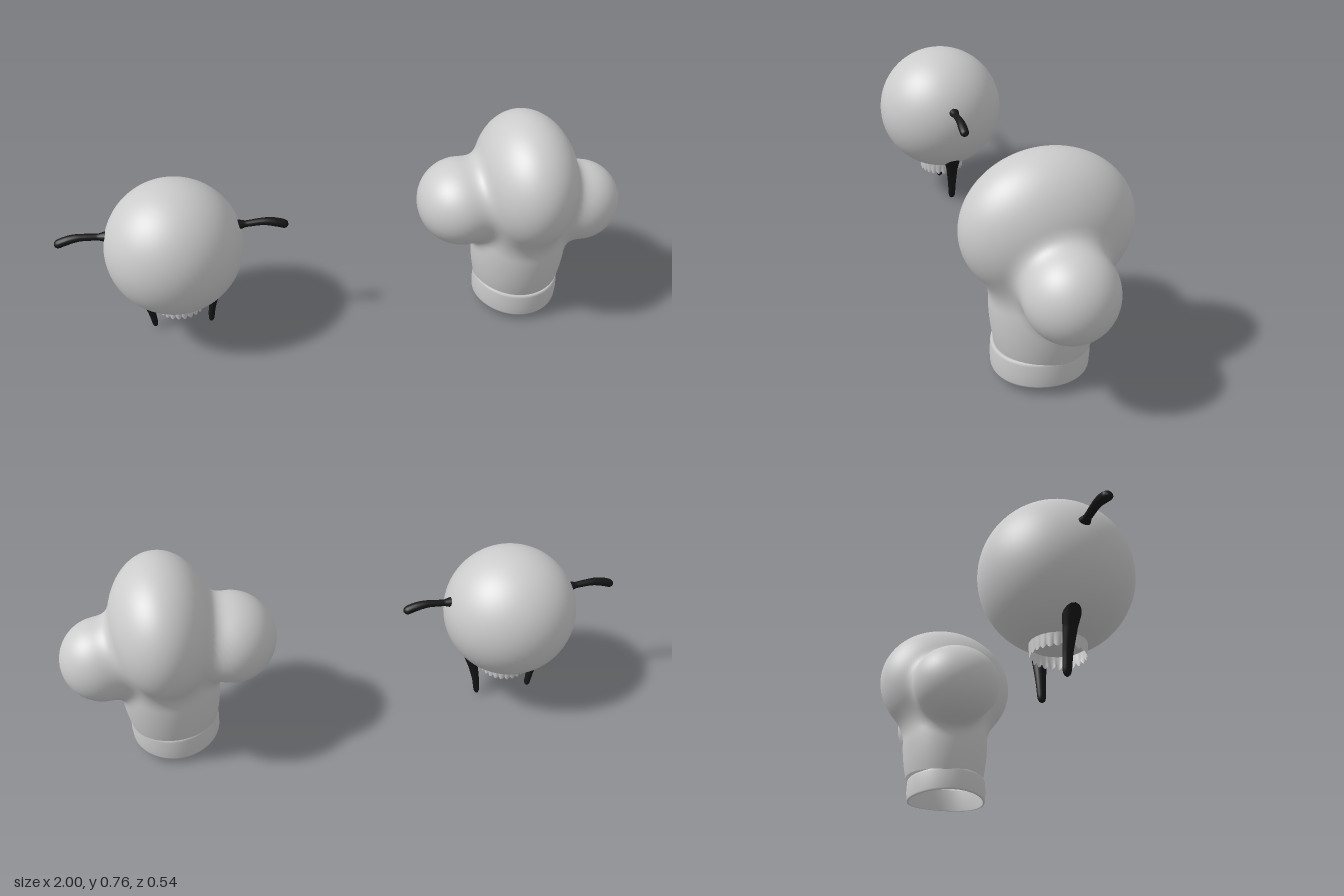
import * as THREE from 'three';
import { mergeVertices } from 'three/addons/utils/BufferGeometryUtils.js';

const grey = new THREE.MeshStandardMaterial({ color: 0xcccccc, side: THREE.DoubleSide });
const black = new THREE.MeshStandardMaterial({ color: 0x161616 });

function part(name, geometry, material, parent) {
  const mesh = new THREE.Mesh(geometry, material);
  mesh.name = name;
  parent.add(mesh);
  return mesh;
}

// Weld seams so that recomputed normals stay smooth.
function smooth(geometry) {
  geometry.deleteAttribute('uv');
  geometry.deleteAttribute('normal');
  const welded = mergeVertices(geometry, 1e-5);
  welded.computeVertexNormals();
  return welded;
}

// Tapered limb along a curve, round at its far end.
function limbGeometry(points, radii, depthScale) {
  const curve = new THREE.CatmullRomCurve3(points.map(p => new THREE.Vector3(...p)));
  const rings = 36, sides = 16, cap = 0.9;
  const geometry = new THREE.TubeGeometry(curve, rings, 1, sides, false);
  const pos = geometry.attributes.position;
  const v = new THREE.Vector3();
  for (let i = 0; i <= rings; i++) {
    const t = i / rings, centre = curve.getPointAt(t);
    const k = Math.min(t * (radii.length - 1), radii.length - 1.0001), a = Math.floor(k);
    let r = THREE.MathUtils.lerp(radii[a], radii[a + 1], k - a);
    if (t > cap) r *= Math.sqrt(Math.max(0.0001, 1 - ((t - cap) / (1 - cap)) ** 2));
    for (let j = 0; j <= sides; j++) {
      const n = i * (sides + 1) + j;
      v.fromBufferAttribute(pos, n).sub(centre).multiplyScalar(r);
      v.z *= depthScale;
      v.add(centre);
      pos.setXYZ(n, v.x, v.y, v.z);
    }
  }
  return smooth(geometry);
}

// Puffs of the hat: centre and radii, blended into one surface.
const puffs = [
  { c: [0, 0.52, 0], r: [0.18, 0.24, 0.27] },
  { c: [0, 0.27, 0.005], r: [0.172, 0.35, 0.17] },
  { c: [-0.225, 0.44, -0.013], r: [0.155, 0.152, 0.172] },
  { c: [0.212, 0.408, 0], r: [0.143, 0.147, 0.143] },
];

function puffDistance({ c, r }, p) {
  const x = (p.x - c[0]) / r[0], y = (p.y - c[1]) / r[1], z = (p.z - c[2]) / r[2];
  const k0 = Math.hypot(x, y, z), k1 = Math.hypot(x / r[0], y / r[1], z / r[2]);
  return k1 < 1e-6 ? -Math.min(...r) : k0 * (k0 - 1) / k1;
}

function hatDistance(p) {
  const k = 0.055;
  return puffs.map(b => puffDistance(b, p)).reduce((a, b) => {
    const h = Math.max(k - Math.abs(a - b), 0) / k;
    return Math.min(a, b) - h * h * k / 4;
  });
}

// Push each vertex of a sphere, open below, out to the blended surface.
function hatGeometry() {
  const geometry = new THREE.SphereGeometry(1, 128, 96, 0, Math.PI * 2, 0, Math.PI - 0.46);
  const pos = geometry.attributes.position;
  const centre = new THREE.Vector3(0, 0.42, 0);
  const dir = new THREE.Vector3(), p = new THREE.Vector3();
  const at = r => hatDistance(p.copy(centre).addScaledVector(dir, r));
  for (let i = 0; i < pos.count; i++) {
    dir.fromBufferAttribute(pos, i).normalize();
    let outer = 0.5;
    while (outer > 0.02 && at(outer) > 0) outer -= 0.01;
    let inner = outer;
    outer += 0.01;
    for (let n = 0; n < 14; n++) {
      const mid = (inner + outer) / 2;
      if (at(mid) > 0) outer = mid; else inner = mid;
    }
    p.copy(centre).addScaledVector(dir, inner);
    pos.setXYZ(i, p.x, p.y, p.z);
  }
  return smooth(geometry);
}

// Hat band: a thick ring whose edges dip at front and back.
function bandGeometry() {
  const profile = [
    [0.138, 0.115], [0.146, 0.031], [0.149, 0.029], [0.153, 0.03], [0.155, 0.036], [0.157, 0.07],
    [0.155, 0.108], [0.153, 0.116], [0.149, 0.118], [0.138, 0.115],
  ].map(([r, y]) => new THREE.Vector2(r, y));
  const geometry = new THREE.LatheGeometry(profile, 80);
  const pos = geometry.attributes.position;
  for (let i = 0; i < pos.count; i++) {
    const a = Math.atan2(pos.getZ(i), pos.getX(i));
    pos.setY(i, pos.getY(i) + 0.006 * Math.cos(2 * a));
  }
  return smooth(geometry);
}

// Short neck frill with a scalloped lower edge.
function frillGeometry() {
  const sides = 192, scallops = 24;
  const geometry = new THREE.CylinderGeometry(0.088, 0.082, 0.05, sides, 4, true);
  const pos = geometry.attributes.position;
  for (let i = 0; i < pos.count; i++) {
    const a = Math.atan2(pos.getZ(i), pos.getX(i));
    const drop = 0.5 - pos.getY(i) / 0.05;
    const wave = Math.abs(Math.sin(a * scallops / 2));
    const flare = 1 + 0.04 * drop * wave;
    pos.setXYZ(i, pos.getX(i) * flare, pos.getY(i) + 0.011 * drop * (1 - wave), pos.getZ(i) * flare);
  }
  return smooth(geometry);
}

export function createModel() {
  const model = new THREE.Group();
  model.name = 'ballFigureAndHat';

  // Round figure
  const figure = new THREE.Group();
  figure.name = 'ballFigure';
  figure.position.x = -0.6;
  model.add(figure);
  part('body', new THREE.SphereGeometry(0.24, 64, 48), grey, figure).position.set(0, 0.372, 0.01);
  part('neckFrill', frillGeometry(), grey, figure).position.set(0, 0.13, 0.01);

  for (const s of [-1, 1]) {
    const side = s > 0 ? 'left' : 'right';
    const arm = [[0.2, 0.437, 0.012], [0.25, 0.439, 0.012], [0.32, 0.443, 0.013], [0.365, 0.434, 0.014], [0.4, 0.42, 0.014]];
    part(side + 'Arm', limbGeometry(arm.map(([x, y, z]) => [s * x, y, z]),
      [0.024, 0.011, 0.012, 0.015, 0.015], 1.15), black, figure);
    const leg = [[0.145, 0.215, 0.0], [0.128, 0.15, -0.002], [0.11, 0.07, -0.005], [0.101, 0.0, -0.006]];
    part(side + 'Leg', limbGeometry(leg.map(([x, y, z]) => [s * x, y, z]),
      [0.028, 0.018, 0.013, 0.01], 1.25), black, figure);
  }

  // Puffy hat
  const hat = new THREE.Group();
  hat.name = 'puffyHat';
  hat.position.x = 0.645;
  model.add(hat);
  part('hatCrown', hatGeometry(), grey, hat);
  part('hatBand', bandGeometry(), grey, hat).position.z = 0.013;

  return model;
}
